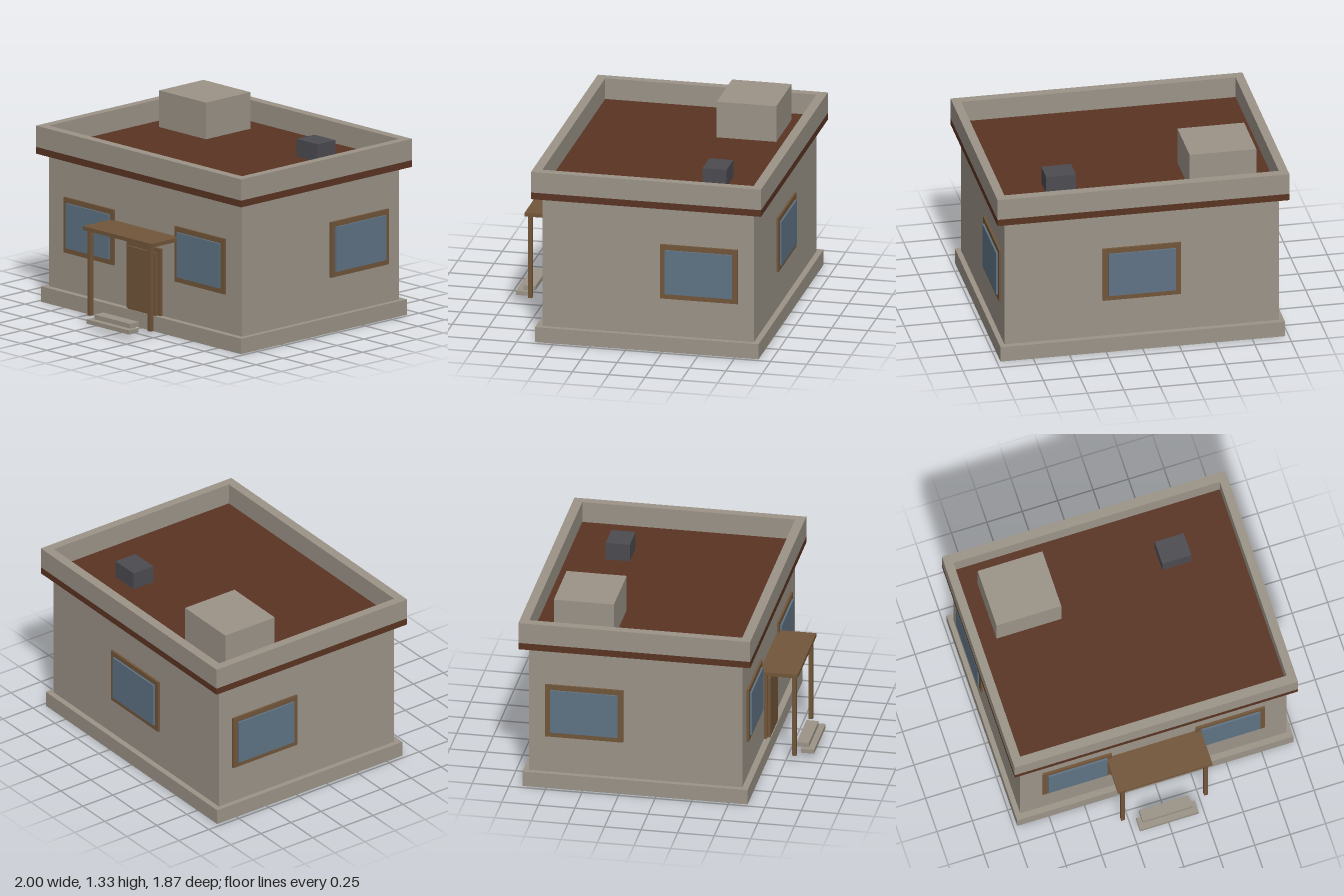
import * as THREE from 'three';

const material = (name, color) => {
  const m = new THREE.MeshStandardMaterial({ color });
  m.name = name;
  return m;
};

export function createModel() {
  const house = new THREE.Group();
  house.name = 'house';
  const plaster = material('plaster', 0x9c9488);
  const roofBrown = material('roofBrown', 0x5a3422);
  const wood = material('wood', 0x72563a);
  const glass = material('glass', 0x5f7385);
  const metal = material('metal', 0x4b4b51);

  // Box given by its ranges on each axis
  const box = (name, mat, [x0, x1], [y0, y1], [z0, z1], parent = house) => {
    const mesh = new THREE.Mesh(new THREE.BoxGeometry(x1 - x0, y1 - y0, z1 - z0), mat);
    mesh.position.set((x0 + x1) / 2, (y0 + y1) / 2, (z0 + z1) / 2);
    mesh.name = name;
    parent.add(mesh);
    return mesh;
  };

  // Body
  box('plinth', plaster, [-0.975, 0.975], [0, 0.107], [-0.912, 0.628]);
  box('walls', plaster, [-0.94, 0.94], [0.107, 1.026], [-0.872, 0.585]);
  box('roofSlab', roofBrown, [-1, 1], [1.026, 1.073], [-0.935, 0.65]);

  // Parapet ring around the flat roof
  const midZ = -0.1425;
  const rectangle = (Type, hx, hy) => new Type([
    new THREE.Vector2(-hx, -hy), new THREE.Vector2(hx, -hy),
    new THREE.Vector2(hx, hy), new THREE.Vector2(-hx, hy),
  ]);
  const ring = rectangle(THREE.Shape, 1, 0.7925);
  ring.holes.push(rectangle(THREE.Path, 0.94, 0.7275));
  const ringGeometry = new THREE.ExtrudeGeometry(ring, { depth: 0.147, bevelEnabled: false });
  ringGeometry.rotateX(-Math.PI / 2);
  const parapet = new THREE.Mesh(ringGeometry, plaster);
  parapet.position.set(0, 1.073, midZ);
  parapet.name = 'parapet';
  house.add(parapet);

  // Rooftop boxes
  box('stairHousing', plaster, [-0.815, -0.358], [1.073, 1.327], [-0.728, -0.317]);
  box('roofVent', metal, [0.395, 0.6], [1.073, 1.195], [-0.605, -0.44]);

  // Windows: frame and raised pane, built facing +z and turned to each wall
  const addWindow = (name, width, x, z, angle) => {
    const w = new THREE.Group();
    w.name = name;
    const h = width / 2;
    box('windowFrame', wood, [-h, h], [0.373, 0.757], [-0.01, 0.015], w);
    box('windowPane', glass, [-h + 0.036, h - 0.036], [0.41, 0.721], [0, 0.028], w);
    w.position.set(x, 0, z);
    w.rotation.y = angle;
    house.add(w);
  };
  for (const s of [-1, 1]) {
    const side = s > 0 ? 'left' : 'right';
    addWindow(side + 'FrontWindow', 0.488, s * 0.54, 0.585, 0);
    addWindow(side + 'SideWindow', 0.534, s * 0.94, -0.495, s * Math.PI / 2);
  }
  addWindow('backWindow', 0.534, 0, -0.872, Math.PI);

  // Door
  box('doorFrame', wood, [-0.165, 0.165], [0.107, 0.573], [0.575, 0.604]);
  box('door', wood, [-0.137, 0.137], [0.107, 0.543], [0.58, 0.622]);

  // Porch canopy, posts and steps
  box('canopy', wood, [-0.333, 0.333], [0.656, 0.683], [0.585, 0.847]);
  for (const s of [-1, 1]) {
    const post = box('porchPost', wood, [-0.014, 0.014], [0.067, 0.65], [0.803, 0.832]);
    post.position.x = s * 0.293;
  }
  box('upperStep', plaster, [-0.175, 0.175], [0.075, 0.107], [0.81, 0.893]);
  box('lowerStep', plaster, [-0.207, 0.207], [0.046, 0.075], [0.847, 0.935]);

  return house;
}
